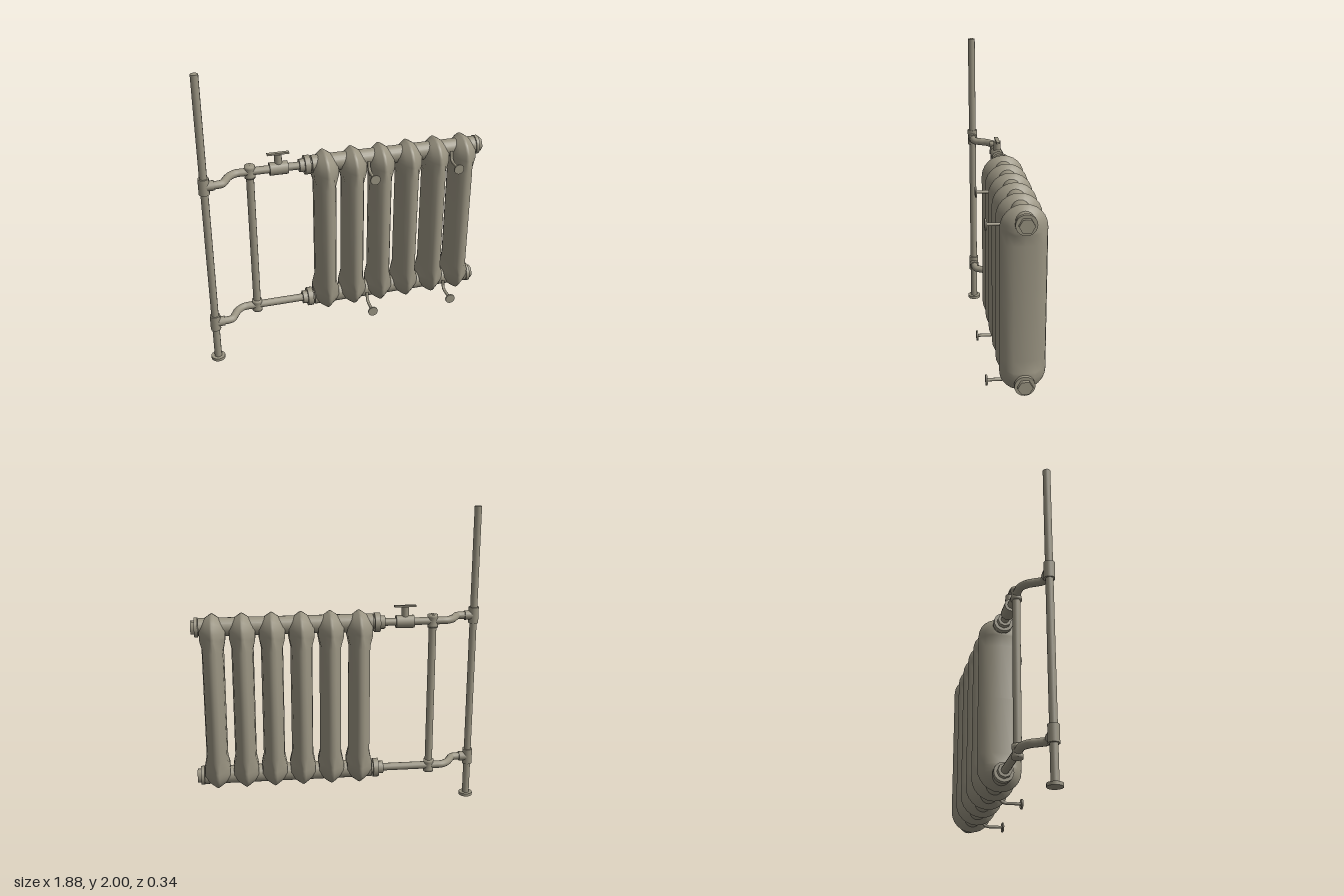
import * as THREE from 'three';
import { mergeVertices } from 'three/addons/utils/BufferGeometryUtils.js';

const HUB_Z = -0.037;
const LEVELS = [0.29, 1.29];

// One cast section: rounded-end rings that widen from a ridge to the side faces.
function sectionGeometry() {
  const R = 0.137, yTop = 1.238, yLow = 0.342, arc = 12;
  const insets = [0, 0.008, 0.035, 0.075, R];
  const ridge = [0, 0.012, 0.042, 0.08, 0.083];
  const widthAt = (k, y) => {
    const t = THREE.MathUtils.clamp(Math.max((y - 1.15) / 0.07, (0.43 - y) / 0.07), 0, 1);
    const oval = 0.07 * Math.sqrt(1 - ((R - insets[k]) / R) ** 2);
    return THREE.MathUtils.lerp(oval, ridge[k], t);
  };
  const ring = (d) => {
    const pts = [], rz = R - d, ry = R - 0.75 * d;
    for (let i = 0; i <= arc; i++) {
      const a = (i / arc) * Math.PI;
      pts.push([rz * Math.cos(a), yTop + ry * Math.sin(a)]);
    }
    const waist = [1.22, 1.15, 0.79, 0.43, 0.36];
    waist.forEach((y) => pts.push([-rz, y]));
    for (let i = 0; i <= arc; i++) {
      const a = Math.PI + (i / arc) * Math.PI;
      pts.push([rz * Math.cos(a), yLow + ry * Math.sin(a)]);
    }
    waist.slice().reverse().forEach((y) => pts.push([rz, y]));
    return pts;
  };
  const pos = [], idx = [];
  const last = insets.length - 1;
  let n = 0;
  // from the left face over the ridge to the right face
  for (let s = -last; s <= last; s++) {
    const k = Math.abs(s), pts = ring(insets[last - (last - k)]);
    n = pts.length;
    for (const [z, y] of pts) pos.push(Math.sign(s) * widthAt(k, y), y, z);
  }
  for (let r = 0; r < 2 * last; r++) {
    for (let i = 0; i < n; i++) {
      const a = r * n + i, b = r * n + ((i + 1) % n), c = a + n, d = b + n;
      idx.push(a, b, c, b, d, c);
    }
  }
  const g = new THREE.BufferGeometry();
  g.setAttribute('position', new THREE.Float32BufferAttribute(pos, 3));
  g.setIndex(idx);
  // orient outward by signed volume
  let vol = 0;
  const p = [0, 1, 2].map(() => new THREE.Vector3());
  for (let i = 0; i < idx.length; i += 3) {
    p.forEach((v, j) => v.fromArray(pos, idx[i + j] * 3));
    vol += p[0].dot(p[1].clone().cross(p[2]));
  }
  if (vol < 0) g.setIndex(idx.reverse());
  const m = mergeVertices(g, 1e-4);
  m.computeVertexNormals();
  return m;
}

export function createModel() {
  const model = new THREE.Group();
  model.name = 'radiator';
  const paint = new THREE.MeshStandardMaterial({ color: 0x9a9482 });
  paint.name = 'warm grey paint';

  const add = (name, geo, x = 0, y = 0, z = 0) => {
    const m = new THREE.Mesh(geo, paint);
    m.name = name;
    m.position.set(x, y, z);
    model.add(m);
    return m;
  };
  // cylinders spanning two coordinates along one axis
  const vert = (name, r, y0, y1, x, z, seg = 12) =>
    add(name, new THREE.CylinderGeometry(r, r, y1 - y0, seg), x, (y0 + y1) / 2, z);
  const horiz = (name, r, x0, x1, y, z, seg = 16) =>
    add(name, new THREE.CylinderGeometry(r, r, x1 - x0, seg).rotateZ(-Math.PI / 2), (x0 + x1) / 2, y, z);
  const tube = (name, pts, r, seg) =>
    add(name, new THREE.TubeGeometry(
      new THREE.CatmullRomCurve3(pts.map((p) => new THREE.Vector3(...p)), false, 'centripetal'), seg, r, 12));

  // riser pipe and foot
  vert('riserPipe', 0.024, 0, 2, -0.897, 0.087);
  vert('riserFoot', 0.046, 0, 0.02, -0.897, 0.087, 16);

  // radiator sections
  const section = sectionGeometry();
  for (let i = 0; i < 6; i++) add('section', section, -0.122 + i * 0.1856, 0, HUB_Z);

  for (const y of LEVELS) {
    // hubs joining the sections, with end fittings
    horiz('hub', 0.058, -0.207, 0.89, y, HUB_Z, 20);
    horiz('endCap', 0.062, 0.893, 0.915, y, HUB_Z, 20);
    horiz('endPlug', 0.046, 0.91, 0.938, y, HUB_Z, 6);
    horiz('inletCollar', 0.062, -0.253, -0.217, y, HUB_Z, 20);
    horiz('inletNeck', 0.04, -0.22, -0.2, y, HUB_Z);
    horiz('inletNut', 0.044, -0.285, -0.25, y, HUB_Z, 8);

    // offset supply pipe
    tube('offsetPipe', [
      [-0.87, y, 0.087], [-0.82, y, 0.087], [-0.785, y, 0.08], [-0.762, y, 0.045],
      [-0.735, y, 0], [-0.69, y, -0.033], [-0.64, y, HUB_Z], [-0.6, y, HUB_Z],
    ], 0.025, 28);
    horiz('straightPipe', 0.025, -0.61, -0.27, y, HUB_Z, 12);

    // tee fittings
    vert('riserTee', 0.034, y - 0.052, y + 0.054, -0.897, 0.087);
    horiz('teeBranch', 0.032, -0.897, -0.836, y, 0.087, 12);
    const tee = [[0, -0.041], [0.034, -0.041], [0.034, -0.025], [0.028, 0],
      [0.034, 0.025], [0.034, 0.041], [0, 0.041]].map((p) => new THREE.Vector2(...p));
    add('bypassTee', new THREE.LatheGeometry(tee, 16), -0.597, y, HUB_Z);

    // wall brackets
    for (const x of [0.156, 0.714]) {
      const by = y - 0.062;
      tube('bracketRod', [[x, by, 0.165], [x, by, 0.11], [x, by, 0.06],
        [x, by + 0.012, 0.036], [x, y, 0.022]], 0.01, 16);
      add('bracketPlate', new THREE.CylinderGeometry(0.033, 0.033, 0.01, 20).rotateX(Math.PI / 2), x, by, 0.166);
    }
  }

  // bypass pipe
  vert('bypassPipe', 0.025, 0.29, 1.29, -0.597, HUB_Z);

  // shut-off valve
  horiz('valveBody', 0.042, -0.474, -0.357, 1.29, HUB_Z);
  vert('valveStem', 0.024, 1.3, 1.387, -0.416, HUB_Z);
  add('valveHandle', new THREE.BoxGeometry(0.14, 0.011, 0.024), -0.416, 1.391, HUB_Z);
  return model;
}
